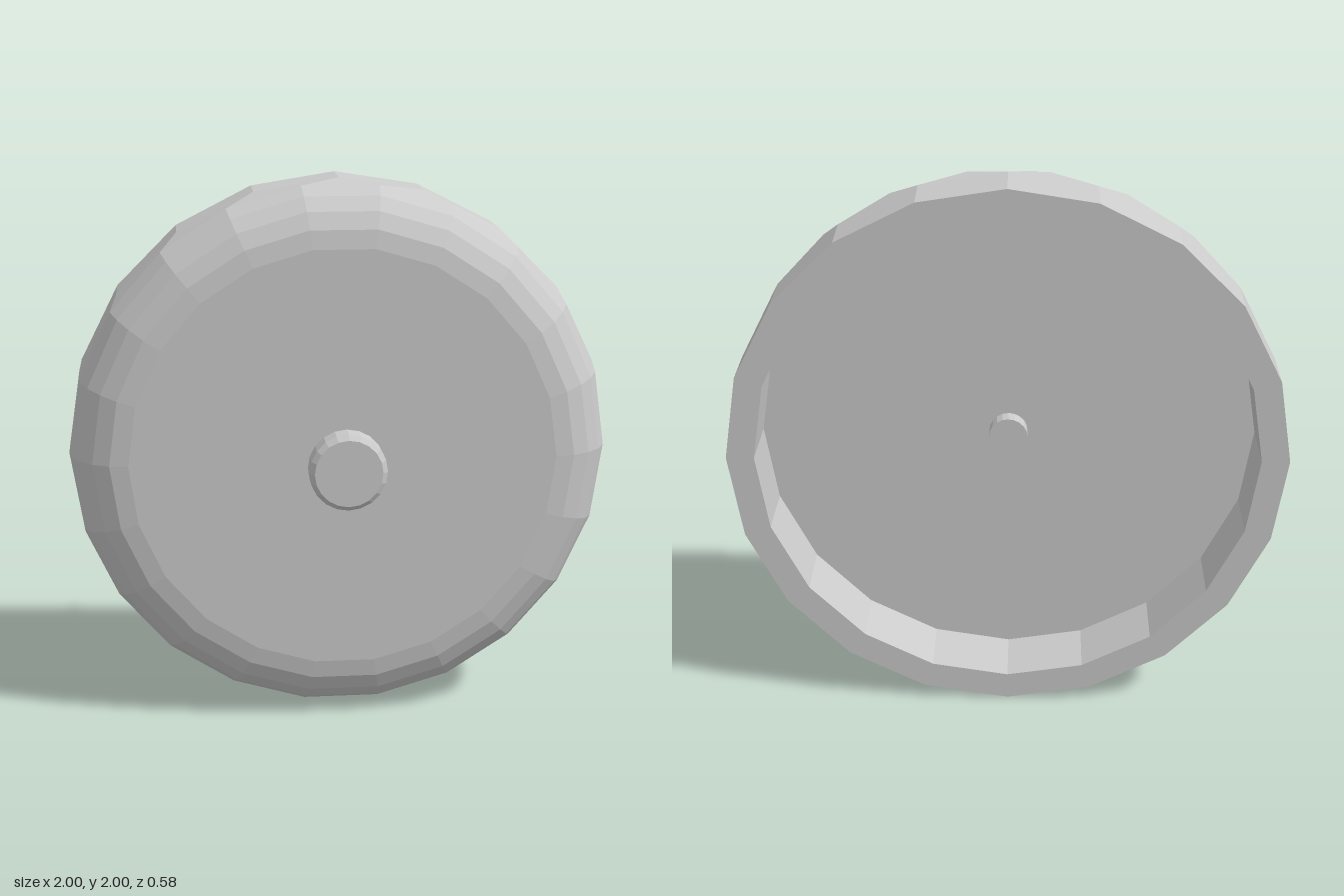
import * as THREE from 'three';

const material = new THREE.MeshStandardMaterial({ color: 0xcccccc, flatShading: true });

// Skins a chain of rings [sides, radius, z] around the z axis.
// Neighbouring rings may have different side counts.
function ringSkin(rings) {
  const pos = [];
  const point = ([n, r, z], i) => {
    const a = (i / n) * Math.PI * 2;
    return [r * Math.cos(a), r * Math.sin(a), z];
  };
  for (let k = 0; k < rings.length - 1; k++) {
    const A = rings[k], B = rings[k + 1];
    let i = 0, j = 0;
    while (i < A[0] || j < B[0]) {
      // step along whichever ring has the nearer next corner
      if (j >= B[0] || (i < A[0] && (i + 1) / A[0] <= (j + 1) / B[0])) {
        if (A[1] > 0) pos.push(...point(A, i), ...point(A, i + 1), ...point(B, j));
        i++;
      } else {
        if (B[1] > 0) pos.push(...point(A, i), ...point(B, j + 1), ...point(B, j));
        j++;
      }
    }
  }
  const geometry = new THREE.BufferGeometry();
  geometry.setAttribute('position', new THREE.Float32BufferAttribute(pos, 3));
  geometry.computeVertexNormals();
  return geometry;
}

export function createModel() {
  const group = new THREE.Group();
  const add = (name, rings) => {
    const mesh = new THREE.Mesh(ringSkin(rings), material);
    mesh.name = name;
    mesh.position.y = 1;
    group.add(mesh);
  };

  // Hollow lid: recessed floor, inner wall, rim and straight 20-sided wall
  const lid = [
    [20, 0, -0.045], [20, 0.9, -0.045], [20, 0.9, -0.29], [20, 1, -0.29], [20, 1, -0.1],
  ];
  // Rounded 22-sided shoulder up to the flat front
  for (let s = 1; s <= 5; s++) {
    const a = (s / 5) * Math.PI / 2;
    lid.push([22, 0.78 + 0.22 * Math.cos(a), -0.1 + 0.222 * Math.sin(a)]);
  }
  lid.push([22, 0, 0.122]);
  add('lid', lid);

  // Stem passing through the lid
  add('stem', [[20, 0, -0.1], [20, 0.07, -0.1], [20, 0.07, 0.2], [20, 0, 0.2]]);

  // Chamfered knob
  add('knob', [
    [20, 0, 0.182], [20, 0.122, 0.182], [20, 0.14, 0.2],
    [20, 0.14, 0.272], [20, 0.122, 0.29], [20, 0, 0.29],
  ]);
  return group;
}
